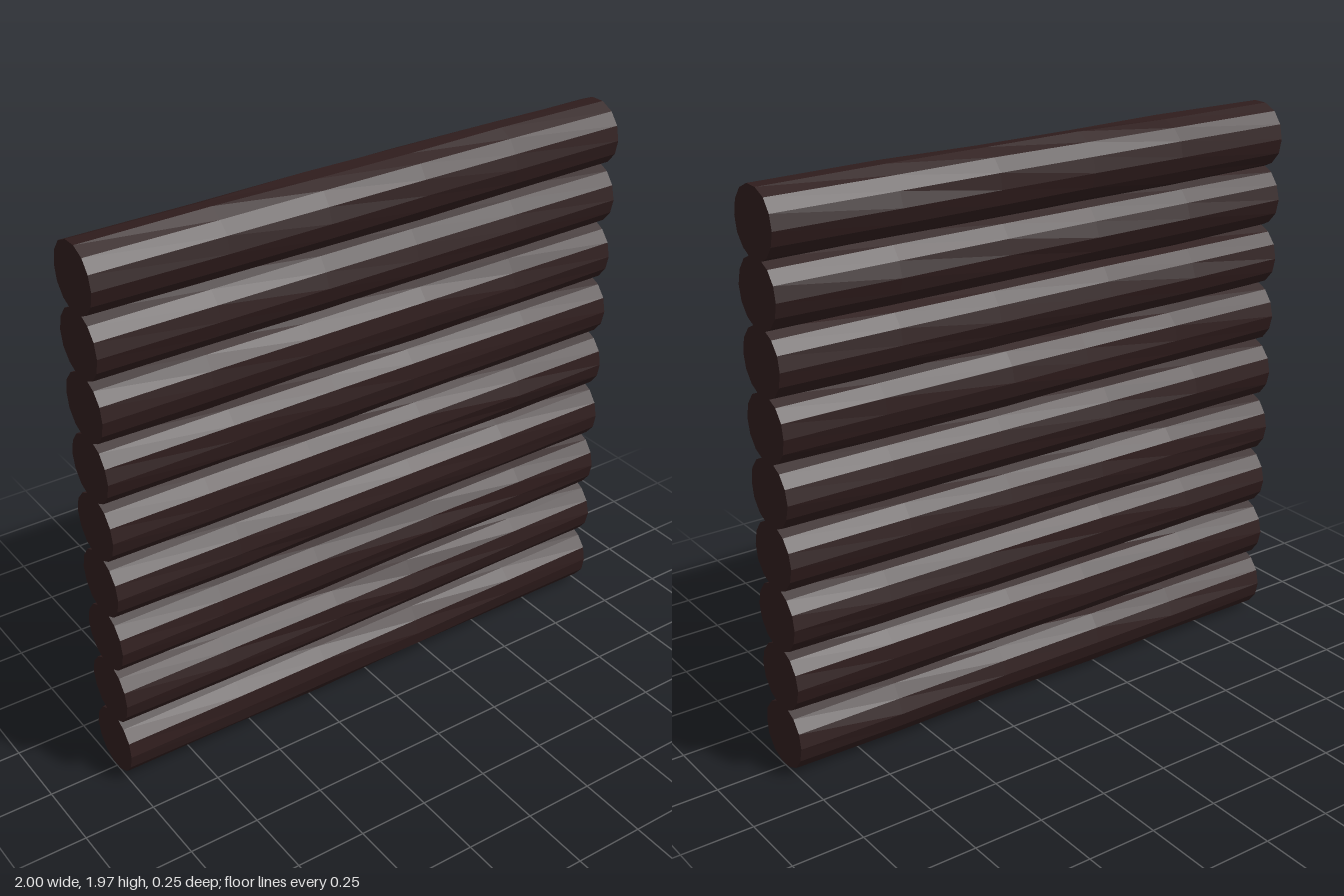
import * as THREE from 'three';

const LOGS = 9, SIDES = 14, RINGS = 5, LENGTH = 2, RADIUS = 0.117, SPACING = 0.2168;

// Repeatable value in -1..1 for a log, ring and side
function wobble(log, ring, side) {
  const s = Math.sin(log * 12.99 + ring * 78.23 + side * 37.72) * 43758.5453;
  return (s - Math.floor(s)) * 2 - 1;
}

// One roughly hewn log along x, slightly swollen between its flat ends
function makeLog(index, material) {
  const geometry = new THREE.CylinderGeometry(RADIUS, RADIUS, LENGTH, SIDES, RINGS);
  const pos = geometry.attributes.position;
  for (let i = 0; i < pos.count; i++) {
    const x = pos.getX(i), z = pos.getZ(i);
    const r = Math.hypot(x, z);
    if (r < 0.01) continue; // cap centre
    const ring = Math.round((pos.getY(i) / LENGTH + 0.5) * RINGS);
    const side = (Math.round((Math.atan2(x, z) / (2 * Math.PI)) * SIDES) + SIDES) % SIDES;
    const atEnd = ring === 0 || ring === RINGS;
    const scale = atEnd ? 1 + 0.01 * wobble(index, ring, side) : 1.025 + 0.035 * wobble(index, ring, side);
    pos.setX(i, x * scale);
    pos.setZ(i, z * scale);
    // uneven ring positions, ends stay square
    if (!atEnd) pos.setY(i, pos.getY(i) + 0.06 * wobble(index, ring, 50));
  }
  geometry.rotateZ(Math.PI / 2);
  geometry.translate(0, RADIUS + 0.001 + index * SPACING, 0);
  // keep the underside on the ground
  for (let i = 0; i < pos.count; i++) pos.setY(i, Math.max(0, pos.getY(i)));
  geometry.computeVertexNormals();
  const log = new THREE.Mesh(geometry, material);
  log.name = `log${index + 1}`;
  return log;
}

export function createModel() {
  const wall = new THREE.Group();
  wall.name = 'logWall';
  const bark = new THREE.MeshStandardMaterial({ color: 0x2e1c1c, flatShading: true });
  for (let i = 0; i < LOGS; i++) wall.add(makeLog(i, bark));
  return wall;
}
